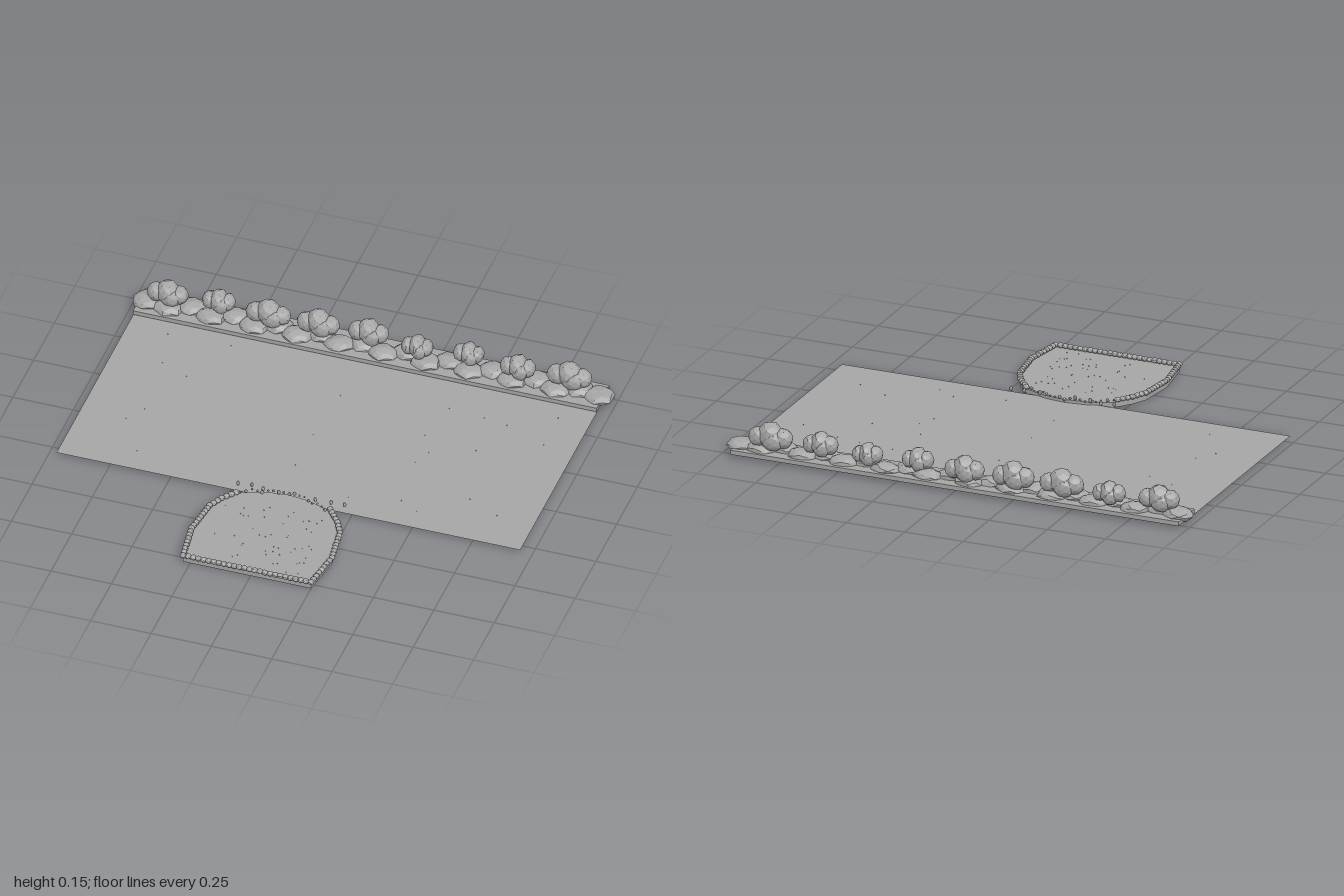
import * as THREE from 'three';

let seed = 7;
const rand = (a = 0, b = 1) => {
  seed = (seed * 16807) % 2147483647;
  return a + (b - a) * (seed / 2147483647);
};

// Low-poly lump: each corner is pushed in or out by a smooth rule
function lump(detail, rough) {
  const geo = new THREE.IcosahedronGeometry(1, detail);
  const p = geo.attributes.position;
  const s = rand(0, 20);
  const v = new THREE.Vector3();
  for (let i = 0; i < p.count; i++) {
    v.fromBufferAttribute(p, i);
    const k = 1 + rough * Math.sin(4 * v.x + s) * Math.cos(5 * v.z + 3 * v.y + s);
    p.setXYZ(i, v.x * k, v.y * k, v.z * k);
  }
  geo.computeVertexNormals();
  return geo;
}

export function createModel() {
  const model = new THREE.Group();
  const grey = new THREE.MeshStandardMaterial({ color: 0xa6a6a6, flatShading: true, side: THREE.DoubleSide });
  grey.name = 'stone grey';

  const add = (name, geo, x, y, z, parent = model) => {
    const mesh = new THREE.Mesh(geo, grey);
    mesh.name = name;
    mesh.position.set(x, y, z);
    parent.add(mesh);
    return mesh;
  };
  const group = (name) => {
    const g = new THREE.Group();
    g.name = name;
    model.add(g);
    return g;
  };

  // Flat lawn and the raised bed behind it
  add('lawn', new THREE.PlaneGeometry(1.92, 0.95).rotateX(-Math.PI / 2), -0.01, 0.01, -0.185);
  add('hedgeBed', new THREE.BoxGeometry(1.92, 0.018, 0.155), -0.01, 0.023, -0.713);

  // Rough ground cover along the bed
  const cover = group('groundCover');
  for (let i = 0; i < 22; i++) {
    const t = i / 21;
    const inner = i > 0 && i < 21;
    const rock = add('coverClump', lump(1, 0.1), -0.935 + 1.87 * t, 0.033,
      -0.715 + (inner ? (i % 2 ? 0.018 : -0.015) : 0), cover);
    rock.scale.set(0.062, rand(0.024, 0.029), inner ? rand(0.048, 0.054) : 0.058);
    rock.rotation.y = rand(-0.3, 0.3);
  }

  // Nine rounded bushes, each a cluster of lobes: x, z, width, top
  const bushes = [
    [-0.855, -0.72, 0.165, 0.146], [-0.65, -0.74, 0.13, 0.137], [-0.44, -0.725, 0.18, 0.15],
    [-0.235, -0.73, 0.17, 0.152], [-0.03, -0.74, 0.16, 0.148], [0.18, -0.715, 0.125, 0.138],
    [0.385, -0.74, 0.12, 0.135], [0.595, -0.72, 0.14, 0.142], [0.805, -0.73, 0.18, 0.152],
  ];
  for (const [x, z, w, top] of bushes) {
    const bush = group('bush');
    bush.position.set(x, 0, z);
    const lobe = (dx, y, dz, sx, sy, sz) =>
      add('bushLobe', lump(1, 0.05), dx, y, dz, bush).scale.set(sx, sy, sz);
    const h = top - 0.045;
    lobe(0, top - h * 0.5, 0, w * 0.28, h * 0.5, 0.046);
    lobe(-w * 0.27, 0.088, 0.004, w * 0.24, h * 0.4, 0.038);
    lobe(w * 0.27, 0.086, -0.004, w * 0.24, h * 0.38, 0.038);
    lobe(w * 0.1, 0.08, 0.02, w * 0.25, h * 0.4, 0.028);
    lobe(-w * 0.08, 0.08, -0.018, w * 0.25, h * 0.4, 0.028);
  }

  // Terrace outline, starting at the front left corner and running round the back
  const side = [[-0.28, 0.775], [-0.305, 0.6], [-0.285, 0.44], [-0.255, 0.38], [-0.2, 0.31]];
  const back = [[-0.1, 0.275], [-0.015, 0.265], [0.07, 0.275]];
  const other = [[0.17, 0.31], [0.225, 0.38], [0.255, 0.44], [0.277, 0.6], [0.25, 0.775]];
  const outline = [...side, ...back, ...other].map(([x, z]) => new THREE.Vector2(x, -z));
  const slab = new THREE.ExtrudeGeometry(new THREE.Shape(outline), { depth: 0.022, bevelEnabled: false });
  add('terrace', slab.rotateX(-Math.PI / 2), 0, 0, 0);

  // Beads of edging stone on the two sides and the front
  const edging = group('edgingStones');
  const pebble = lump(1, 0.06);
  const along = (points, fn, step) => {
    for (let i = 0; i < points.length - 1; i++) {
      const [ax, az] = points[i], [bx, bz] = points[i + 1];
      const n = Math.max(1, Math.round(Math.hypot(bx - ax, bz - az) / step));
      for (let j = 0; j < n; j++) fn(ax + (bx - ax) * j / n, az + (bz - az) * j / n);
    }
  };
  const stone = (x, z) => {
    const m = add('edgingStone', pebble, x, 0.031, z, edging);
    m.scale.set(0.013, 0.0105, 0.013);
    m.rotation.y = rand(0, 6);
  };
  along(side, stone, 0.021);
  along([...other, side[0]], stone, 0.021);

  // Small loose stones along the back edge
  const loose = group('looseStones');
  along([side[4], ...back, other[0]], (x, z) => {
    const m = add('looseStone', pebble, x, rand(0.024, 0.032), z + rand(-0.008, 0.012), loose);
    m.scale.setScalar(rand(0.004, 0.008));
  }, 0.022);
  for (const x of [-0.225, -0.17, -0.12, -0.055, 0.095, 0.16, 0.215]) {
    const m = add('sprout', pebble, x, 0.032, rand(0.255, 0.275), loose);
    m.scale.set(0.007, 0.011, 0.007);
  }

  // Tiny grit scattered over terrace and lawn
  const grit = group('grit');
  const speck = new THREE.TetrahedronGeometry(0.003);
  for (let i = 0; i < 50; i++) add('speck', speck, rand(-0.23, 0.2), 0.023, rand(0.36, 0.74), grit);
  for (let i = 0; i < 24; i++) add('speck', speck, rand(-0.9, 0.9), 0.011, rand(-0.6, 0.22), grit);

  return model;
}
